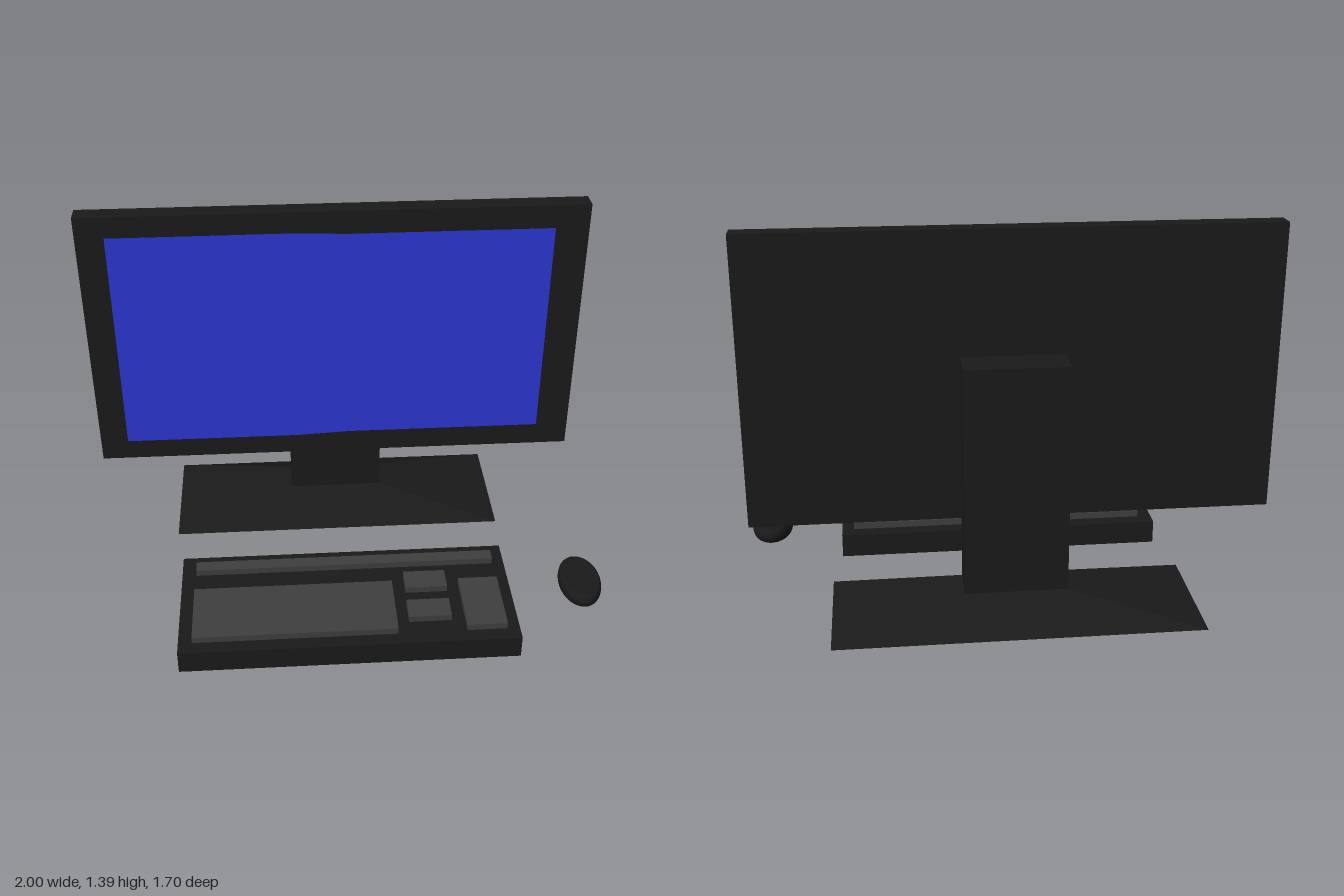
import * as THREE from 'three';

const black = new THREE.MeshStandardMaterial({ color: 0x1a1a1a });
const grey = new THREE.MeshStandardMaterial({ color: 0x3f3f3f });
const blue = new THREE.MeshStandardMaterial({ color: 0x2c36d0, side: THREE.DoubleSide });

function add(parent, name, geometry, material, x = 0, y = 0, z = 0) {
  const mesh = new THREE.Mesh(geometry, material);
  mesh.name = name;
  mesh.position.set(x, y, z);
  parent.add(mesh);
  return mesh;
}

// Box given by its bottom and top heights
function slab(parent, name, material, w, d, y0, y1, x = 0, z = 0) {
  return add(parent, name, new THREE.BoxGeometry(w, y1 - y0, d), material, x, (y0 + y1) / 2, z);
}

// Each device stands on the desk turned by the same angle
function device(parent, name, x, z) {
  const group = new THREE.Group();
  group.name = name;
  group.position.set(x, 0, z);
  group.rotation.y = THREE.MathUtils.degToRad(29.3);
  parent.add(group);
  return group;
}

export function createModel() {
  const model = new THREE.Group();
  model.name = 'desktopComputer';

  // Monitor panel and screen
  const monitor = device(model, 'monitor', -0.167, -0.233);
  slab(monitor, 'panel', black, 1.872, 0.072, 0.345, 1.393);
  const outline = new THREE.Shape([
    [-0.83, 0.427], [-0.15, 0.427], [0.05, 0.437], [0.81, 0.437],
    [0.81, 1.304], [0.05, 1.304], [-0.15, 1.312], [-0.83, 1.312],
  ].map(([x, y]) => new THREE.Vector2(x, y)));
  add(monitor, 'screen', new THREE.ShapeGeometry(outline), blue, 0, 0, 0.039);

  // Neck behind the panel
  const neckW = 0.368, neckD = 0.14, neckZ = -0.105;
  slab(monitor, 'neck', black, neckW, neckD, 0.113, 0.95, 0, neckZ);

  // Foot: a box whose top face shrinks to the neck's outline
  const footW = 1.312, footD = 0.481;
  let foot = new THREE.BoxGeometry(footW, 0.095, footD);
  const p = foot.attributes.position;
  for (let i = 0; i < p.count; i++) {
    if (p.getY(i) > 0) {
      p.setX(i, p.getX(i) * neckW / footW);
      p.setZ(i, p.getZ(i) * neckD / footD);
    }
  }
  foot = foot.toNonIndexed();
  foot.computeVertexNormals();
  add(monitor, 'foot', foot, black, 0, 0.0675, neckZ);

  // Keyboard with raised blocks of keys: name, width, depth, x, z
  const keyboard = device(model, 'keyboard', 0.146, 0.318);
  slab(keyboard, 'keyboardBody', black, 1.244, 0.518, 0, 0.09);
  for (const [name, w, d, x, z] of [
    ['functionKeys', 1.144, 0.05, 0.004, -0.18],
    ['mainKeys', 0.747, 0.26, -0.198, 0.079],
    ['editKeys', 0.158, 0.092, 0.302, -0.053],
    ['arrowKeys', 0.158, 0.092, 0.299, 0.105],
    ['numberKeys', 0.148, 0.256, 0.502, 0.079],
  ]) slab(keyboard, name, grey, w, d, 0.08, 0.115, x, z);

  // Mouse: an oval puck with rounded rim
  const mouse = device(model, 'mouse', 0.904, -0.18);
  const profile = [new THREE.Vector2(0, 0.03)];
  for (let i = 0; i <= 10; i++) {
    const a = -Math.PI / 2 + Math.PI * i / 10;
    profile.push(new THREE.Vector2(0.82 + 0.18 * Math.cos(a), 0.06 + 0.03 * Math.sin(a)));
  }
  profile.push(new THREE.Vector2(0, 0.09));
  const puck = new THREE.LatheGeometry(profile, 40).scale(0.08, 1, 0.1276);
  add(mouse, 'mouseBody', puck, black);

  return model;
}
